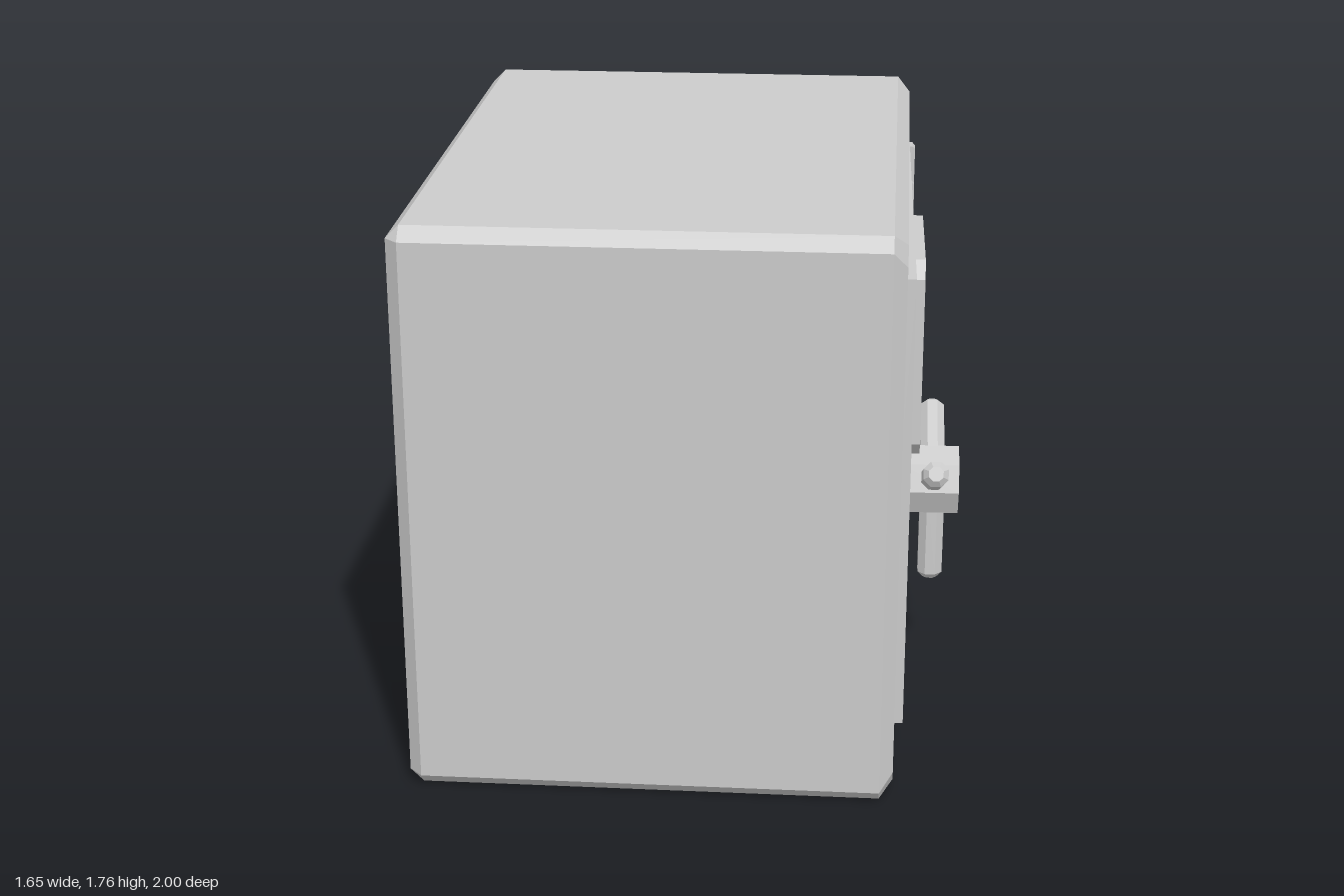
import * as THREE from 'three';
import { ConvexGeometry } from 'three/addons/geometries/ConvexGeometry.js';

const material = new THREE.MeshStandardMaterial({ color: 0xcccccc, flatShading: true });

function add(parent, name, geometry) {
  const mesh = new THREE.Mesh(geometry, material);
  mesh.name = name;
  parent.add(mesh);
  return mesh;
}

// Extrudes an outline (horizontal = -z, vertical = y) along +x from x0 to x1.
function plate(outline, x0, x1, bevel) {
  const shape = new THREE.Shape(outline.map(([u, v]) => new THREE.Vector2(u, v)));
  const geometry = new THREE.ExtrudeGeometry(shape, {
    depth: x1 - x0 - 2 * bevel,
    bevelEnabled: bevel > 0,
    bevelThickness: bevel,
    bevelSize: bevel,
    bevelOffset: -bevel,
    bevelSegments: 1,
  });
  return geometry.translate(0, 0, x0 + bevel).rotateY(Math.PI / 2);
}

// Chamfered box; the door side has wider corner cuts.
function cabinetGeometry() {
  const hx = 0.73, hy = 0.88, hz = 1, c = 0.04, cut = 0.05;
  const points = [];
  for (const sx of [-1, 1]) for (const sy of [-1, 1]) for (const sz of [-1, 1]) {
    const p = (x, y, z) => points.push(new THREE.Vector3(sx * x, sy * y, sz * z));
    p(hx - c, hy, hz - c);
    p(hx - c, hy - c, hz);
    if (sx < 0) p(hx, hy - c, hz - c);
    else {
      p(hx, hy - c, hz - c - cut);
      p(hx, hy - c - cut, hz - c);
    }
  }
  return new ConvexGeometry(points).translate(-0.1, hy, 0);
}

export function createModel() {
  const safe = new THREE.Group();
  safe.name = 'safe';
  add(safe, 'cabinet', cabinetGeometry());

  // Door, very slightly ajar
  const door = new THREE.Group();
  door.name = 'door';
  door.position.x = 0.645;
  door.rotation.y = 0.014;
  safe.add(door);
  add(door, 'doorSlab', new THREE.BoxGeometry(0.08, 1.41, 1.63)).position.set(-0.04, 0.885, 0);

  // Raised panel with cut corners
  const w = 0.29, low = 0.83, high = 1.47, k = 0.05;
  add(door, 'raisedPanel', plate([
    [-w + k, low], [w - k, low], [w, low + k], [w, high - k],
    [w - k, high], [-w + k, high], [-w, high - k], [-w, low + k],
  ], -0.02, 0.04, 0));

  // Three-spoke handle
  const handle = new THREE.Group();
  handle.name = 'handle';
  handle.position.y = 0.645;
  door.add(handle);
  const hub = add(handle, 'handleHub', new THREE.CylinderGeometry(0.118, 0.118, 0.195, 8));
  hub.rotation.z = -Math.PI / 2;
  hub.position.x = 0.0775;
  const profile = [[0, 0], [0.043, 0], [0.043, 0.325], [0.025, 0.345], [0, 0.345]]
    .map(([r, y]) => new THREE.Vector2(r, y));
  const spokeGeometry = new THREE.LatheGeometry(profile, 8, Math.PI / 8);
  for (const degrees of [-65, 65, 180]) {
    const spoke = add(handle, 'handleSpoke', spokeGeometry);
    spoke.position.x = 0.093;
    spoke.rotation.x = THREE.MathUtils.degToRad(degrees);
  }

  // Hinges: an upright bar with a tapered wing
  const hingeGeometry = plate([
    [0.81, 0], [0.87, 0], [0.87, 0.385], [0.81, 0.385],
    [0.81, 0.265], [0.71, 0.285], [0.71, 0.08], [0.81, 0.07],
  ], 0.6, 0.655, 0.01);
  for (const y of [0.27, 1.165]) add(safe, 'hinge', hingeGeometry).position.y = y;

  return safe;
}
